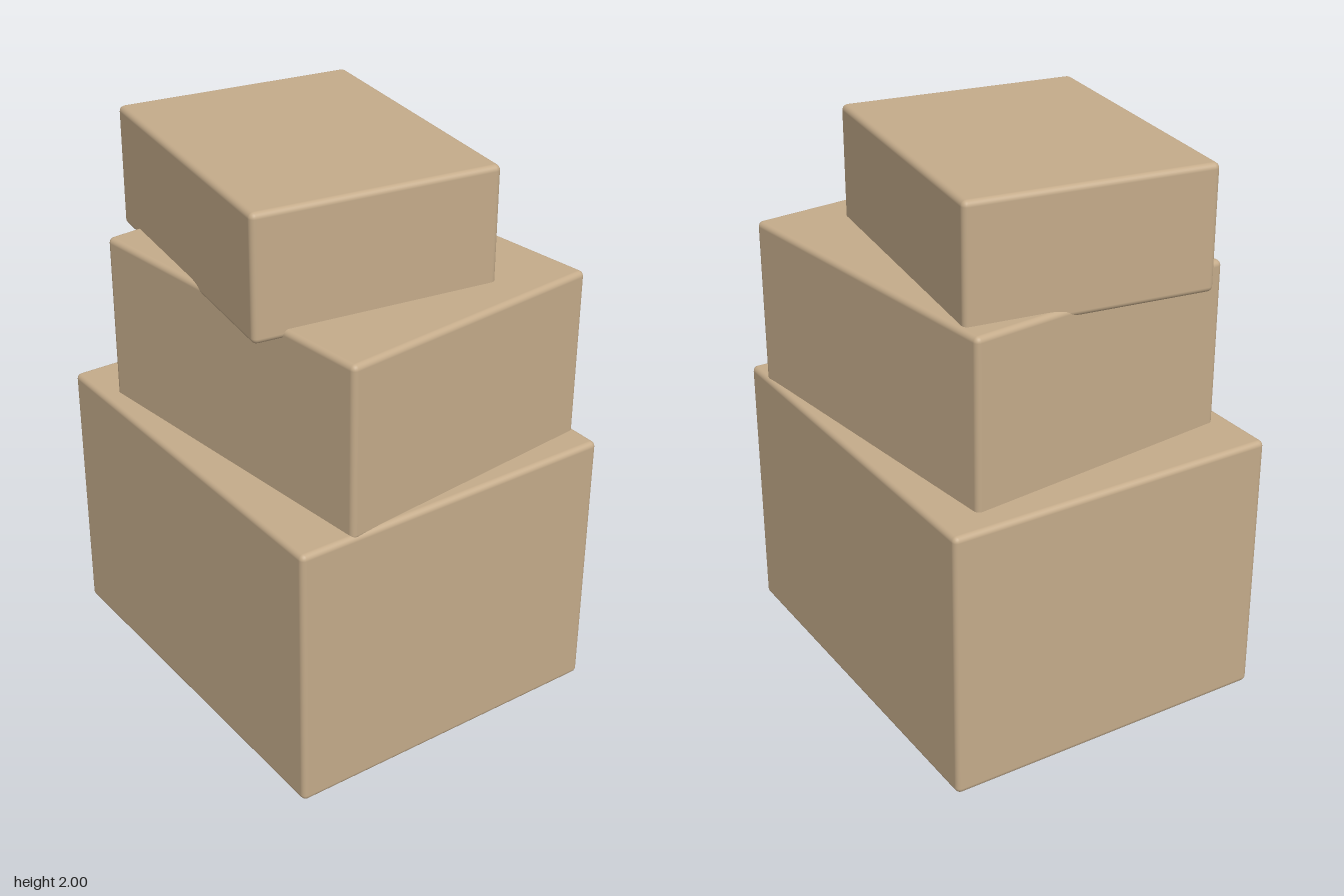
import * as THREE from 'three';
import { RoundedBoxGeometry } from 'three/addons/geometries/RoundedBoxGeometry.js';

export function createModel() {
  const group = new THREE.Group();
  group.name = 'boxStack';

  const cardboard = new THREE.MeshStandardMaterial({ color: 0xc4ab8a });
  cardboard.name = 'cardboard';

  // Softly bevelled box, given its bottom and top height and its turn about y
  function addBox(name, width, depth, bottom, top, x, z, turn) {
    const geometry = new RoundedBoxGeometry(width, top - bottom, depth, 3, 0.02);
    const box = new THREE.Mesh(geometry, cardboard);
    box.name = name;
    box.position.set(x, (bottom + top) / 2, z);
    box.rotation.y = turn;
    group.add(box);
  }

  // Each box sits slightly into the one below and is turned a little
  addBox('bottomBox', 1.475, 1.23, 0, 0.99, 0, 0, 0);
  addBox('middleBox', 1.272, 1.032, 0.97, 1.595, 0.048, -0.026, 0.107);
  addBox('topBox', 1.078, 0.878, 1.562, 2, -0.077, 0.047, -0.14);

  return group;
}
